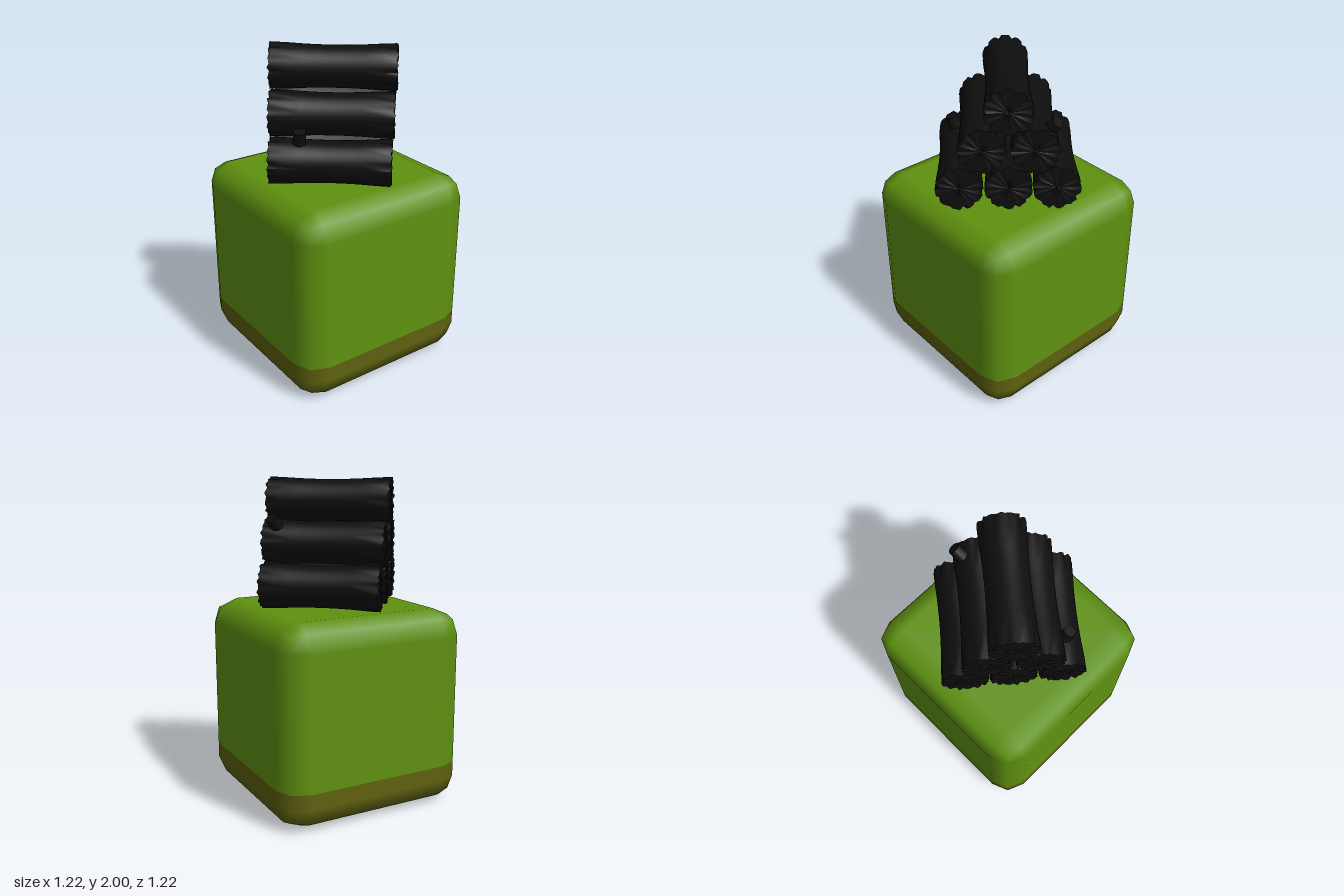
import * as THREE from 'three';
import { RoundedBoxGeometry } from 'three/addons/geometries/RoundedBoxGeometry.js';

const SIZE = 1.22;      // block edge
const SPLIT = 0.25;     // height where earth meets grass
const R = 0.14;         // log radius
const SIDES = 40;

// Rounded block trimmed to one side of the split height
function blockPart(keepAbove) {
  const geo = new RoundedBoxGeometry(SIZE, SIZE, SIZE, 1, 0.155).toNonIndexed();
  geo.translate(0, SIZE / 2, 0);
  const p = geo.attributes.position, n = geo.attributes.normal;
  const pos = [], nor = [];
  const clampY = (y) => (keepAbove ? Math.max(y, SPLIT) : Math.min(y, SPLIT));
  for (let i = 0; i < p.count; i += 3) {
    const flat = [0, 1, 2].every((k) => clampY(p.getY(i + k)) === SPLIT);
    if (flat) continue;
    for (let k = i; k < i + 3; k++) {
      pos.push(p.getX(k), clampY(p.getY(k)), p.getZ(k));
      nor.push(n.getX(k), n.getY(k), n.getZ(k));
    }
  }
  const out = new THREE.BufferGeometry();
  out.setAttribute('position', new THREE.Float32BufferAttribute(pos, 3));
  out.setAttribute('normal', new THREE.Float32BufferAttribute(nor, 3));
  return out;
}

// Log along x: waisted in the middle, with a notched, uneven rim at each end
function logGeometry(length, seed) {
  const geo = new THREE.CylinderGeometry(R, R, length, SIDES, 8);
  const p = geo.attributes.position;
  for (let i = 0; i < p.count; i++) {
    const x = p.getX(i), y = p.getY(i), z = p.getZ(i);
    if (Math.hypot(x, z) < 0.01) continue;
    const t = Math.abs(y) / (length / 2);
    const k = (Math.round((Math.atan2(z, x) / (2 * Math.PI)) * SIDES) + SIDES) % SIDES;
    let s = 0.9 + 0.1 * Math.min(1, t * t * 1.3);
    let dy = 0;
    if (t > 0.9) {
      if ((k + seed) % 4 === 0) s *= 0.89;
      dy = 0.007 * Math.sin(k * 2.3 + seed);
    }
    p.setXYZ(i, x * s, y + dy, z * s);
  }
  geo.computeVertexNormals();
  geo.rotateZ(Math.PI / 2);
  return geo;
}

// Short branch between two points
function stubMesh(from, to, material) {
  const a = new THREE.Vector3(...from), b = new THREE.Vector3(...to);
  const dir = b.clone().sub(a);
  const mesh = new THREE.Mesh(new THREE.CylinderGeometry(0.036, 0.045, dir.length(), 12), material);
  mesh.position.copy(a).add(b).multiplyScalar(0.5);
  mesh.quaternion.setFromUnitVectors(new THREE.Vector3(0, 1, 0), dir.normalize());
  mesh.name = 'branchStub';
  return mesh;
}

export function createModel() {
  const model = new THREE.Group();
  model.name = 'logPileOnBlock';
  const mat = (name, color) => {
    const m = new THREE.MeshStandardMaterial({ color });
    m.name = name;
    return m;
  };
  const grass = mat('grassGreen', 0x5f9210);
  const earth = mat('earthOlive', 0x5e610f);
  const char = mat('charredBlack', 0x0e0e0e);

  // Block
  const top = new THREE.Mesh(blockPart(true), grass);
  top.name = 'grassBlock';
  const base = new THREE.Mesh(blockPart(false), earth);
  base.name = 'earthBase';
  model.add(top, base);

  // Pyramid of logs, turned on the block
  const pile = new THREE.Group();
  pile.name = 'logPile';
  pile.rotation.y = -0.686;
  const rows = [
    { y: 1.367, z: [-0.28, 0, 0.285], length: 0.71 },
    { y: 1.615, z: [-0.15, 0.15], length: 0.73 },
    { y: 1.861, z: [0], length: 0.75 },
  ];
  let seed = 0;
  for (const row of rows) {
    for (const z of row.z) {
      const log = new THREE.Mesh(logGeometry(row.length, ++seed), char);
      log.name = 'log';
      log.position.set(0.005, row.y, z);
      pile.add(log);
    }
  }

  // Branch stubs
  pile.add(
    stubMesh([-0.18, 1.4, 0.29], [-0.17, 1.565, 0.335], char),
    stubMesh([0.25, 1.64, -0.17], [0.31, 1.765, -0.275], char),
  );
  model.add(pile);
  return model;
}
